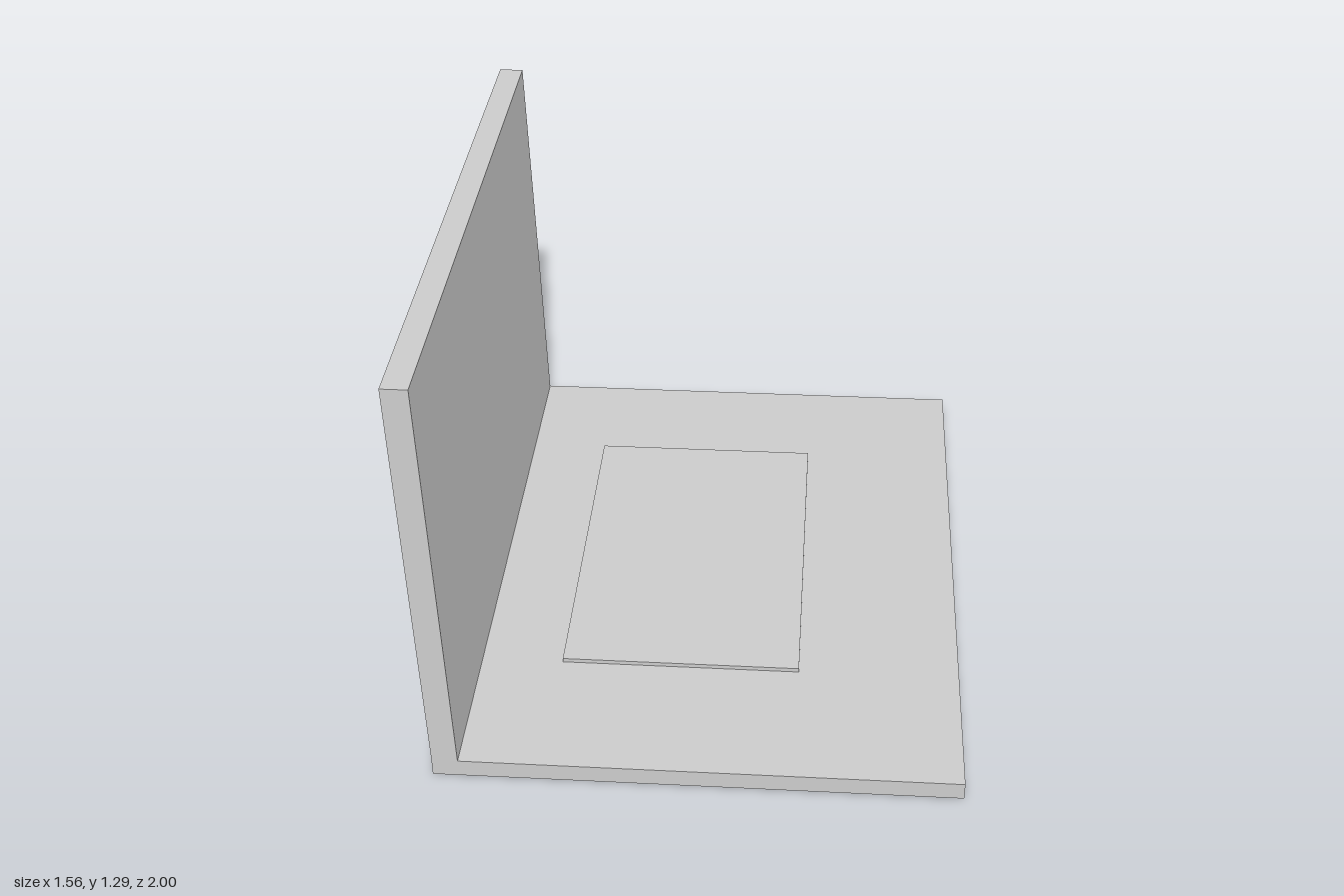
import * as THREE from 'three';

const material = new THREE.MeshStandardMaterial({ color: 0xcccccc, flatShading: true });

// Box given by its extents along each axis
function boxBetween(name, [x0, x1], [y0, y1], [z0, z1]) {
  const geometry = new THREE.BoxGeometry(x1 - x0, y1 - y0, z1 - z0);
  geometry.translate((x0 + x1) / 2, (y0 + y1) / 2, (z0 + z1) / 2);
  const mesh = new THREE.Mesh(geometry, material);
  mesh.name = name;
  return mesh;
}

export function createModel() {
  const group = new THREE.Group();
  group.name = 'openLaptop';

  const baseTop = 0.054;
  const lidTop = 1.294;

  // Flat base slab
  const base = boxBetween('base', [-0.738, 0.778], [0, baseTop], [-0.968, 1]);

  // Slightly raised panel on the base
  const pad = boxBetween('raisedPad', [-0.418, 0.297], [baseTop, 0.067], [-0.577, 0.556]);

  // Upright lid, its top shifted outwards and backwards
  const lid = boxBetween('lid', [-0.738, -0.663], [baseTop, lidTop], [-0.968, 1]);
  const position = lid.geometry.attributes.position;
  for (let i = 0; i < position.count; i++) {
    const t = (position.getY(i) - baseTop) / (lidTop - baseTop);
    position.setX(i, position.getX(i) - 0.041 * t);
    position.setZ(i, position.getZ(i) - 0.032 * t);
  }
  lid.geometry.computeVertexNormals();

  group.add(base, pad, lid);
  return group;
}
